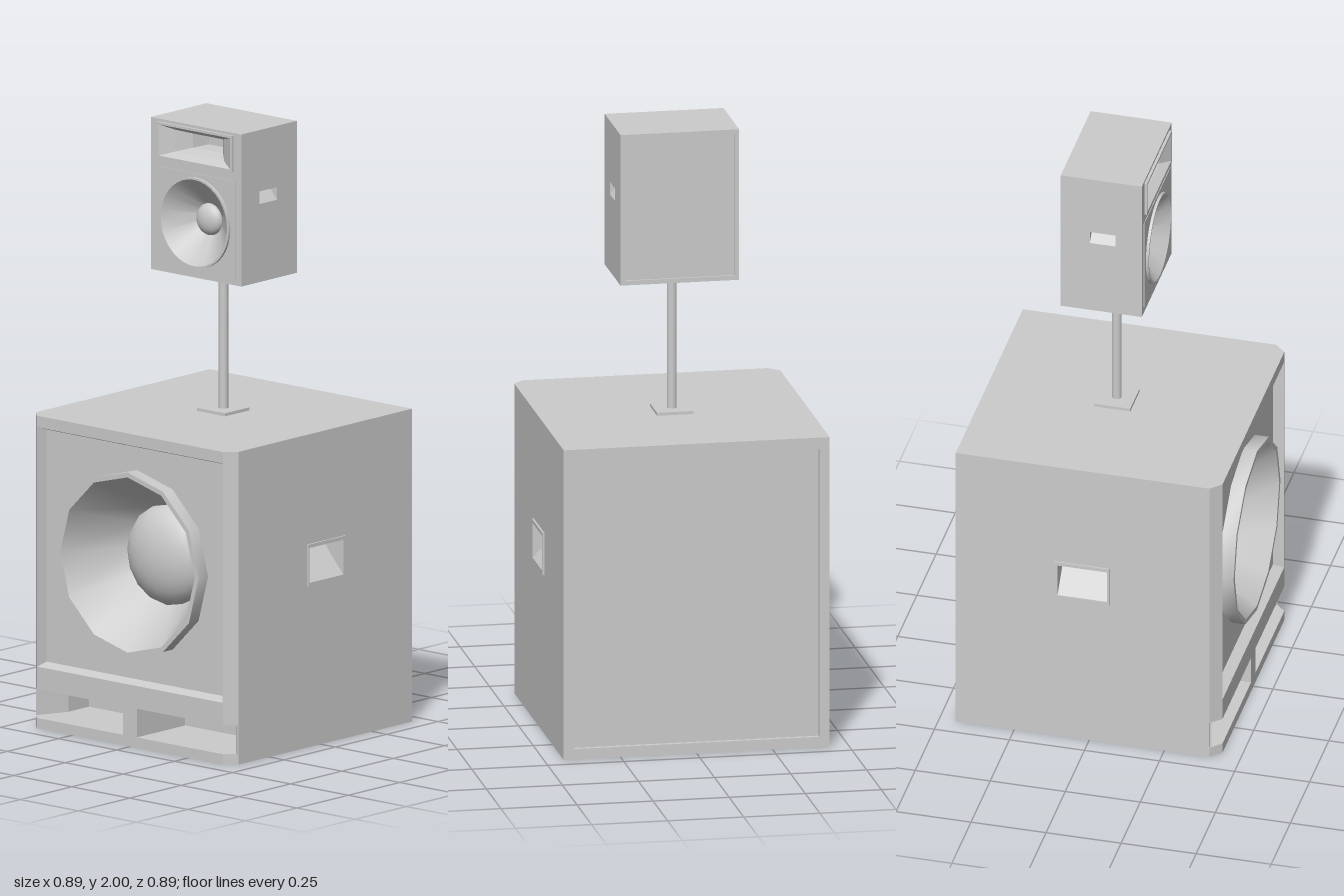
import * as THREE from 'three';
import { toCreasedNormals } from 'three/addons/utils/BufferGeometryUtils.js';

const grey = new THREE.MeshStandardMaterial({ color: 0xcccccc, side: THREE.DoubleSide });

export function createModel() {
  const model = new THREE.Group();
  const sub = new THREE.Group();
  sub.name = 'subwoofer';
  const top = new THREE.Group();
  top.name = 'topSpeaker';
  model.add(sub, top);

  const add = (parent, name, geometry) => {
    const mesh = new THREE.Mesh(geometry, grey);
    mesh.name = name;
    parent.add(mesh);
    return mesh;
  };
  // box given by its limits on each axis
  const box = (parent, name, x0, x1, y0, y1, z0, z1) =>
    add(parent, name, new THREE.BoxGeometry(x1 - x0, y1 - y0, z1 - z0)
      .translate((x0 + x1) / 2, (y0 + y1) / 2, (z0 + z1) / 2));
  const outline = (pts) => new THREE.Shape(pts.map(([x, y]) => new THREE.Vector2(x, y)));
  const rect = (x0, x1, y0, y1) => outline([[x0, y0], [x1, y0], [x1, y1], [x0, y1]]);
  const circle = (x, y, r) => new THREE.Path().absarc(x, y, r, 0, Math.PI * 2, true);
  // front-facing board with holes, from z0 to z1
  const board = (parent, name, shape, holes, z0, z1, segments = 16) => {
    shape.holes.push(...holes);
    return add(parent, name, new THREE.ExtrudeGeometry(shape,
      { depth: z1 - z0, bevelEnabled: false, curveSegments: segments }).translate(0, 0, z0));
  };
  // side-facing board: the shape uses (-z, y), thickness from x0 to x1
  const sideBoard = (parent, name, shape, holes, x0, x1) => {
    shape.holes.push(...holes);
    return add(parent, name, new THREE.ExtrudeGeometry(shape, { depth: x1 - x0, bevelEnabled: false })
      .rotateY(Math.PI / 2).translate(x0, 0, 0));
  };
  // horizontal slab from a plan outline in (x, z)
  const slab = (parent, name, plan, y0, y1) =>
    add(parent, name, new THREE.ExtrudeGeometry(outline(plan.map(([x, z]) => [x, -z])),
      { depth: y1 - y0, bevelEnabled: false }).rotateX(-Math.PI / 2).translate(0, y0, 0));
  // flat-sided skin through four-cornered rings, with an optional end cap
  const loft = (parent, name, rings, cap) => {
    const pos = [];
    const quad = (a, b, c, d) => pos.push(...a, ...b, ...c, ...a, ...c, ...d);
    for (let i = 0; i + 1 < rings.length; i++) {
      for (let j = 0; j < 4; j++) {
        const k = (j + 1) % 4;
        quad(rings[i][j], rings[i][k], rings[i + 1][k], rings[i + 1][j]);
      }
    }
    if (cap) quad(...rings[rings.length - 1]);
    const g = new THREE.BufferGeometry();
    g.setAttribute('position', new THREE.Float32BufferAttribute(pos, 3));
    g.computeVertexNormals();
    return add(parent, name, g);
  };
  const ring = (w, y0, y1, z) => [[-w, y0, z], [w, y0, z], [w, y1, z], [-w, y1, z]];
  // wedge-shaped hand grip sunk into the side at x, sloping in towards its top
  const grip = (parent, s, x, z0, z1, y0, y1, depth) => {
    const face = (topX) => {
      const r = [[s * x, y0, z0], [s * x, y0, z1], [s * topX, y1, z1], [s * topX, y1, z0]];
      return s > 0 ? r.reverse() : r;
    };
    loft(parent, 'handleRecess', [face(x), face(x - depth)], true);
  };
  // rim, cone and dust dome of a driver facing +z
  const driver = (parent, prefix, y, zBase, zRim, zDeep, rOut, rIn, rDome, domeH, sides, domeSides) => {
    const profile = [[rOut, zBase], [rOut, zRim], [rIn, zRim], [rDome * 0.98, zDeep]]
      .map(([r, z]) => new THREE.Vector2(r, z));
    const cone = toCreasedNormals(new THREE.LatheGeometry(profile, sides), 0.6);
    add(parent, prefix + 'Cone', cone.rotateX(Math.PI / 2).translate(0, y, 0));
    const dome = new THREE.SphereGeometry(rDome, domeSides, 8, 0, Math.PI * 2, 0, Math.PI / 2);
    add(parent, prefix + 'Dome', dome.scale(1, domeH / rDome, 1).rotateX(Math.PI / 2).translate(0, y, zDeep));
  };

  // --- subwoofer cabinet ---
  const plan = (zBack) => [[-0.437, zBack], [0.437, zBack], [0.437, 0.4], [0.402, 0.435],
    [-0.402, 0.435], [-0.437, 0.4]];
  slab(sub, 'cabinetTop', plan(-0.445), 0.997, 1.035);
  slab(sub, 'cabinetFloor', plan(-0.445), 0, 0.035);
  // front rail above the ports
  slab(sub, 'portRail', [[-0.43, 0.2], [0.43, 0.2], [0.43, 0.4], [0.437, 0.4], [0.402, 0.435],
    [-0.402, 0.435], [-0.437, 0.4], [-0.43, 0.4]], 0.13, 0.205);
  box(sub, 'portDivider', -0.03, 0.03, 0.035, 0.13, 0.2, 0.435);
  box(sub, 'portBack', -0.39, 0.39, 0.035, 0.13, 0.19, 0.2);
  box(sub, 'backPanel', -0.43, 0.43, 0.035, 0.997, -0.43, -0.42);

  for (const s of [1, -1]) {
    // side skin with handle opening
    sideBoard(sub, 'cabinetSide', rect(-0.4, 0.445, 0.035, 0.997),
      [rect(-0.06, 0.105, 0.545, 0.66)], s > 0 ? 0.429 : -0.437, s > 0 ? 0.437 : -0.429);
    sideBoard(sub, 'handleFrame', rect(-0.067, 0.117, 0.532, 0.672),
      [rect(-0.06, 0.105, 0.545, 0.66)], s > 0 ? 0.436 : -0.443, s > 0 ? 0.443 : -0.436);
    grip(sub, s, 0.44, -0.105, 0.06, 0.545, 0.66, 0.1);
    // chamfered front post, rear post and slanted port wall
    slab(sub, 'frontPost', [[0.4, 0.36], [0.4, 0.435], [0.402, 0.435], [0.437, 0.4],
      [0.43, 0.4], [0.43, 0.36]].map(([x, z]) => [s * x, z]), 0.205, 0.997);
    const rear = [0.403 * s, 0.43 * s].sort((a, b) => a - b);
    box(sub, 'rearPost', ...rear, 0.035, 0.997, -0.445, -0.42);
    slab(sub, 'portWall', [[0.43, 0.405], [0.385, 0.3], [0.385, 0.19], [0.43, 0.19]]
      .map(([x, z]) => [s * x, z]), 0.035, 0.13);
  }

  // sunken baffle with slanted surround
  loft(sub, 'baffleSurround', [ring(0.4, 0.205, 0.997, 0.435), ring(0.39, 0.217, 0.985, 0.4)]);
  board(sub, 'baffle', rect(-0.4, 0.4, 0.205, 0.997), [circle(0, 0.603, 0.298)], 0.385, 0.4, 6);
  driver(sub, 'woofer', 0.603, 0.39, 0.447, 0.24, 0.306, 0.29, 0.167, 0.09, 12, 16);

  // --- pole ---
  box(model, 'poleBase', -0.06, 0.06, 1.035, 1.045, -0.08, 0.04);
  add(model, 'pole', new THREE.CylinderGeometry(0.016, 0.016, 0.455, 16).translate(0, 1.27, -0.02));

  // --- top speaker cabinet ---
  box(top, 'cabinetTop', -0.195, 0.195, 1.985, 2, -0.157, 0.113);
  box(top, 'cabinetFloor', -0.195, 0.195, 1.497, 1.512, -0.157, 0.113);
  box(top, 'backPanel', -0.19, 0.19, 1.512, 1.985, -0.15, -0.145);
  for (const s of [1, -1]) {
    sideBoard(top, 'cabinetSide', rect(-0.113, 0.157, 1.512, 1.985),
      [rect(-0.025, 0.06, 1.755, 1.797)], s > 0 ? 0.18 : -0.195, s > 0 ? 0.195 : -0.18);
    grip(top, s, 0.195, -0.06, 0.025, 1.755, 1.797, 0.035);
  }
  board(top, 'baffle', rect(-0.18, 0.18, 1.512, 1.985),
    [circle(0, 1.68, 0.146), rect(-0.154, 0.154, 1.88, 1.983)], 0.1, 0.113);
  board(top, 'driverPlate', rect(-0.17, 0.17, 1.52, 1.842), [circle(0, 1.68, 0.146)], 0.112, 0.115);
  driver(top, 'midDriver', 1.68, 0.105, 0.124, 0.045, 0.15, 0.143, 0.053, 0.03, 36, 28);

  // horn: flange and flaring throat
  board(top, 'hornFlange', rect(-0.162, 0.162, 1.872, 1.991),
    [rect(-0.154, 0.154, 1.88, 1.983)], 0.11, 0.122);
  loft(top, 'horn', [ring(0.154, 1.88, 1.983, 0.122), ring(0.105, 1.896, 1.968, 0.095),
    ring(0.065, 1.908, 1.955, 0.055), ring(0.045, 1.913, 1.95, 0)], true);

  return model;
}
